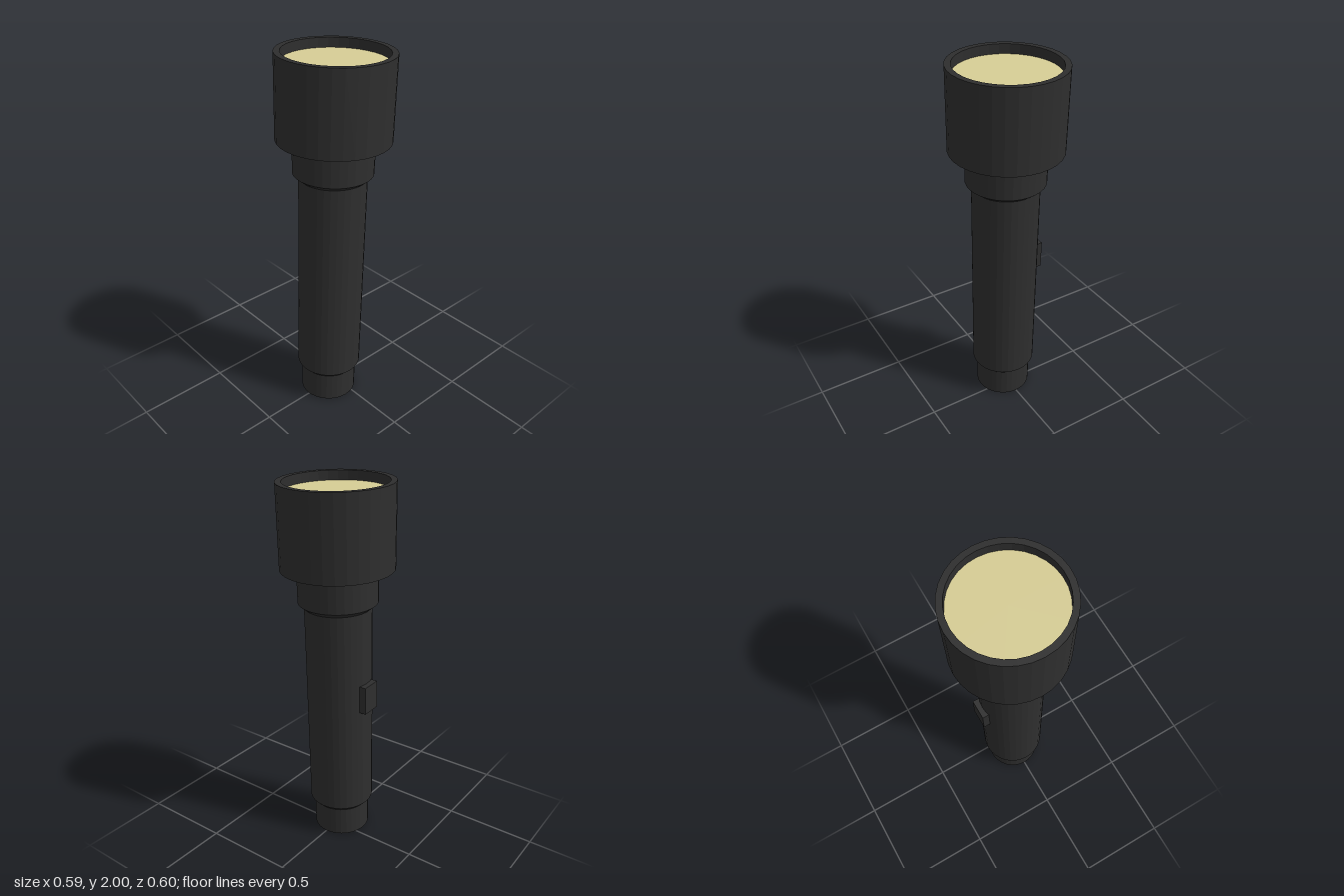
import * as THREE from 'three';

export function createModel() {
  const SEGMENTS = 32;
  const casing = new THREE.MeshStandardMaterial({ color: 0x2e2e2e, flatShading: true });
  casing.name = 'black casing';
  const glass = new THREE.MeshStandardMaterial({ color: 0xd6cd95 });
  glass.name = 'pale yellow lens';

  const model = new THREE.Group();
  model.name = 'flashlight';

  const add = (name, geometry, material) => {
    const mesh = new THREE.Mesh(geometry, material);
    mesh.name = name;
    model.add(mesh);
    return mesh;
  };
  // Turned part from [radius, height] pairs, bottom to top
  const turned = (name, profile) => add(name,
    new THREE.LatheGeometry(profile.map(([r, y]) => new THREE.Vector2(r, y)), SEGMENTS), casing);

  turned('tailCap', [[0, 0], [0.155, 0], [0.155, 0.168]]);
  turned('handle', [[0.155, 0.168], [0.178, 0.192], [0.178, 1.35]]);
  turned('neck', [[0.178, 1.35], [0.21, 1.376], [0.21, 1.525]]);

  // Head with a rim standing above the recessed lens
  turned('head', [[0.21, 1.525], [0.295, 1.553], [0.295, 1.987], [0.264, 1.987], [0.264, 1.935]]);
  const lens = add('lens', new THREE.CircleGeometry(0.264, SEGMENTS), glass);
  lens.rotation.x = -Math.PI / 2;
  lens.position.y = 1.937;

  // Push switch on the side of the handle
  const button = add('switch', new THREE.BoxGeometry(0.06, 0.155, 0.11), casing);
  button.position.set(-0.176, 0.87, 0);

  // The whole torch leans slightly back
  model.rotation.x = -0.031;
  model.position.set(0, 0.005, 0.056);

  const root = new THREE.Group();
  root.add(model);
  return root;
}
